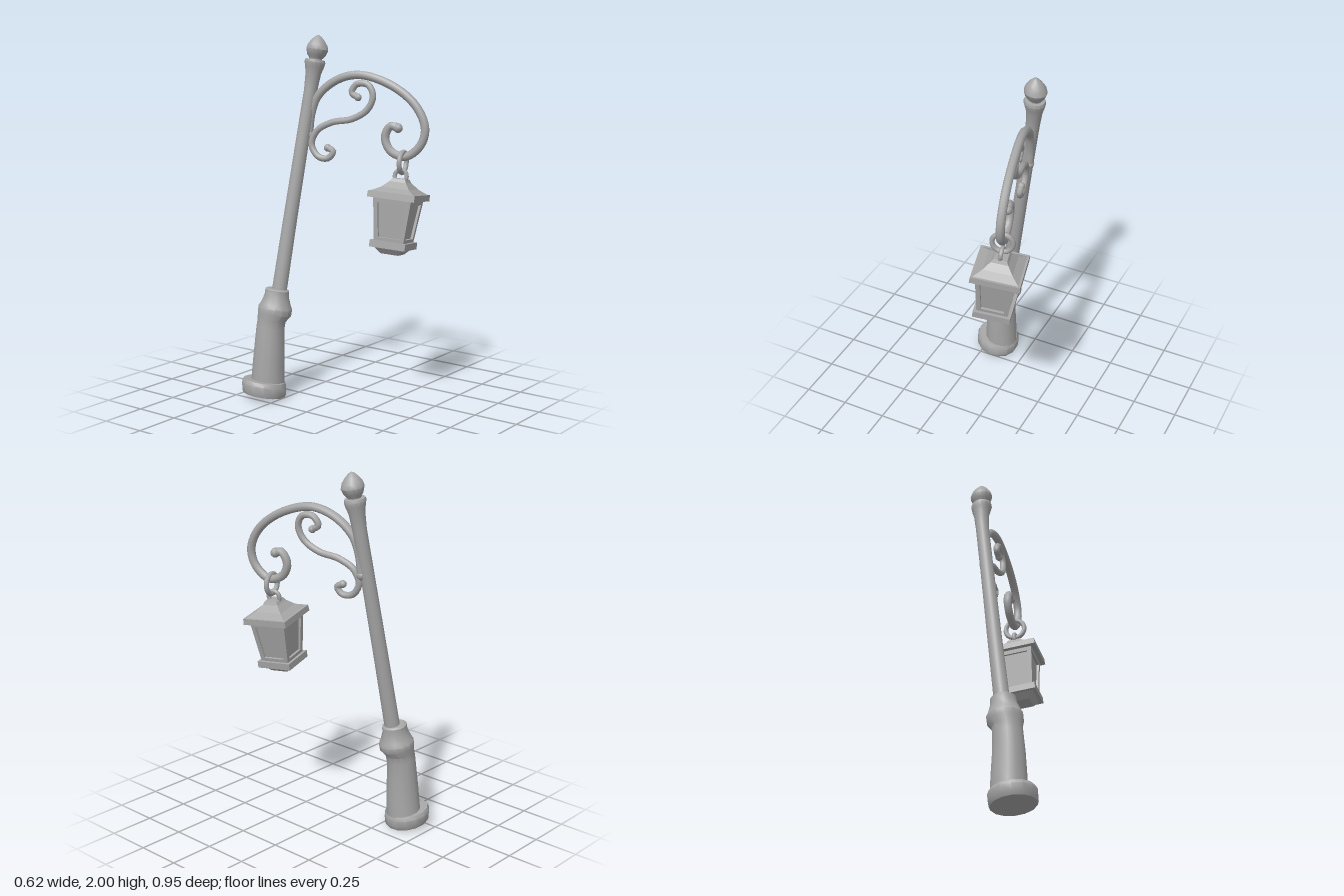
import * as THREE from 'three';
import { toCreasedNormals } from 'three/addons/utils/BufferGeometryUtils.js';

export function createModel() {
  const model = new THREE.Group();
  const iron = new THREE.MeshStandardMaterial({ color: 0xa6a6a6 });
  iron.name = 'grey iron';

  const add = (name, geometry, parent = model) => {
    const mesh = new THREE.Mesh(geometry, iron);
    mesh.name = name;
    parent.add(mesh);
    return mesh;
  };

  // Turned part whose rings follow a leaning axis; rows are [height, radius, centre x, centre z]
  const leaningLathe = (name, rows) => {
    const geo = new THREE.LatheGeometry(rows.map(([y, r]) => new THREE.Vector2(r, y)), 14);
    const p = geo.attributes.position;
    for (let i = 0; i < p.count; i++) {
      const [y, , cx, cz] = rows[i % rows.length];
      const x = p.getX(i), z = p.getZ(i);
      p.setXYZ(i, x + cx, y - 0.15 * x - 0.07 * z, z + cz);
    }
    return add(name, toCreasedNormals(geo, 0.6));
  };

  leaningLathe('baseFoot', [
    [0.022, 0, -0.185, -0.352], [0.022, 0.117, -0.185, -0.352], [0.04, 0.124, -0.183, -0.352],
    [0.08, 0.125, -0.18, -0.354], [0.1, 0.115, -0.178, -0.354], [0.102, 0, -0.175, -0.354],
  ]);
  leaningLathe('basePedestal', [
    [0.09, 0.094, -0.156, -0.348], [0.2, 0.09, -0.153, -0.342], [0.3, 0.084, -0.15, -0.338],
    [0.4, 0.079, -0.143, -0.336], [0.44, 0.079, -0.137, -0.332], [0.475, 0.094, -0.122, -0.324],
    [0.505, 0.095, -0.117, -0.322], [0.525, 0.085, -0.115, -0.32], [0.57, 0.069, -0.109, -0.318],
    [0.605, 0.067, -0.105, -0.317], [0.612, 0.058, -0.104, -0.316], [0.612, 0, -0.104, -0.316],
  ]);
  leaningLathe('post', [
    [0.59, 0.042, -0.096, -0.312], [1.0, 0.039, -0.03, -0.282], [1.4, 0.037, 0.034, -0.25],
    [1.7, 0.037, 0.083, -0.225], [1.79, 0.043, 0.095, -0.216], [1.825, 0.052, 0.099, -0.211],
    [1.85, 0.058, 0.1, -0.208], [1.865, 0.054, 0.101, -0.207], [1.87, 0, 0.101, -0.207],
  ]);
  leaningLathe('finial', [
    [1.855, 0.034, 0.102, -0.206], [1.872, 0.036, 0.103, -0.205], [1.89, 0.051, 0.105, -0.202],
    [1.92, 0.061, 0.108, -0.198], [1.945, 0.054, 0.11, -0.196], [1.97, 0.036, 0.111, -0.194],
    [1.99, 0.017, 0.112, -0.193], [1.999, 0, 0.113, -0.192],
  ]);

  // Scrollwork: points are [z, y] in a slanted plane, with a rounded knob at each end
  const scroll = (name, points, radius, lean) => {
    const at = ([z, y]) => new THREE.Vector3(0.148 + 0.228 * (z - 0.06) + lean * (y - 1.79), y, z);
    const pts = points.map(at);
    add(name, new THREE.TubeGeometry(new THREE.CatmullRomCurve3(pts), 72, radius, 9));
    for (const p of [pts[0], pts[pts.length - 1]]) {
      add(name + 'Knob', new THREE.SphereGeometry(radius * 1.15, 10, 8)).position.copy(p);
    }
  };
  scroll('arm', [
    [-0.225, 1.46], [-0.215, 1.57], [-0.178, 1.67], [-0.07, 1.76], [0.06, 1.79], [0.245, 1.735],
    [0.375, 1.635], [0.43, 1.52], [0.41, 1.43], [0.33, 1.365], [0.245, 1.392], [0.212, 1.465],
    [0.243, 1.525], [0.282, 1.515],
  ], 0.023, 0.046);
  scroll('brace', [
    [0.055, 1.67], [0.018, 1.695], [0.045, 1.74], [0.108, 1.738], [0.138, 1.68], [0.11, 1.606],
    [0.025, 1.553], [-0.09, 1.53], [-0.175, 1.48], [-0.2, 1.405], [-0.158, 1.343],
    [-0.1, 1.337], [-0.072, 1.375], [-0.106, 1.393],
  ], 0.018, 0.08);

  // Hanging links
  const link = (name, x, y, z, radius, tube, yaw) => {
    const ring = add(name, new THREE.TorusGeometry(radius, tube, 8, 20));
    ring.position.set(x, y, z);
    ring.rotation.set(0, yaw, -0.13, 'ZXY');
  };
  link('hangingRing', 0.178, 1.335, 0.32, 0.055, 0.014, 0.23);
  link('lanternLoop', 0.17, 1.262, 0.313, 0.034, 0.012, 0.23 + Math.PI / 2);

  // Lantern, tilted with the post
  const lantern = new THREE.Group();
  lantern.name = 'lantern';
  lantern.position.set(0.17, 1.248, 0.314);
  lantern.rotation.set(0.04, 0.255, -0.13, 'ZXY');
  model.add(lantern);

  // Square tapered block between two heights, given half widths
  const block = (name, yTop, hTop, yBottom, hBottom) => {
    const s = Math.SQRT2;
    const geo = new THREE.CylinderGeometry(hTop * s, hBottom * s, yTop - yBottom, 4).rotateY(Math.PI / 4);
    geo.translate(0, (yTop + yBottom) / 2, 0);
    add(name, toCreasedNormals(geo, 0.3), lantern);
  };
  block('roofCap', 0, 0.036, -0.018, 0.046);
  block('roofUpper', -0.018, 0.046, -0.05, 0.078);
  block('roofLower', -0.05, 0.078, -0.076, 0.122);
  block('roofRim', -0.074, 0.13, -0.108, 0.132);
  block('panes', -0.1, 0.093, -0.34, 0.069);
  block('bottomRim', -0.335, 0.1, -0.372, 0.1);
  block('underside', -0.372, 0.08, -0.405, 0.05);

  // Window frames on the four sloping sides
  const trapezoid = (Kind, top, bottom, y0, y1) => new Kind([
    [-top, y0], [-bottom, y1], [bottom, y1], [top, y0],
  ].map(([x, y]) => new THREE.Vector2(x, y)));
  const shape = trapezoid(THREE.Shape, 0.106, 0.083, 0, -0.232);
  shape.holes.push(trapezoid(THREE.Path, 0.08, 0.061, -0.025, -0.212));
  const frame = new THREE.ExtrudeGeometry(shape, { depth: 0.016, bevelEnabled: false });
  frame.translate(0, 0, -0.016).rotateX(0.098).translate(0, -0.106, 0.106);
  for (let i = 0; i < 4; i++) {
    add('windowFrame', frame, lantern).rotation.y = i * Math.PI / 2;
  }

  return model;
}
